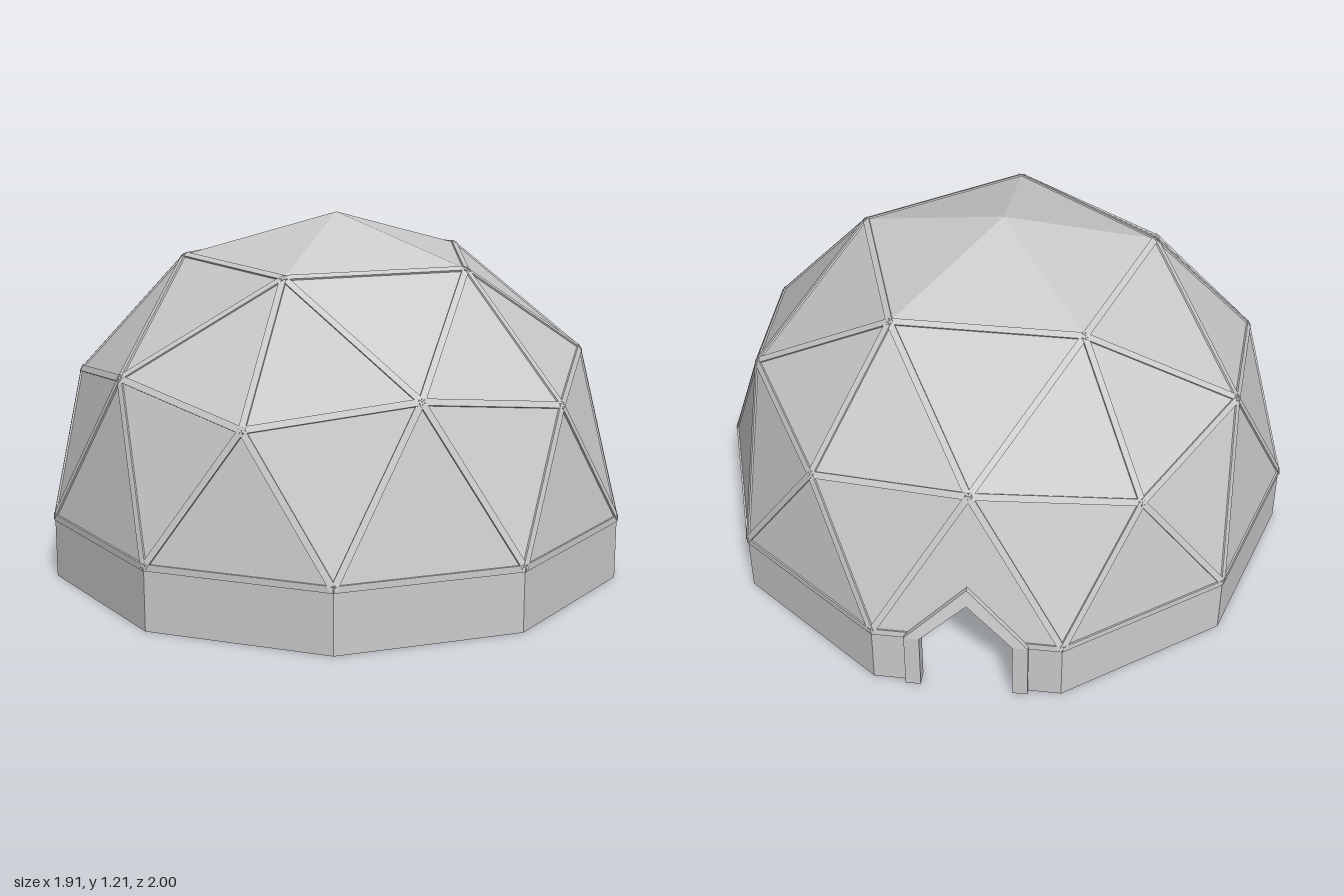
import * as THREE from 'three';

const R = 0.995;      // dome radius
const H = 0.21;       // height of the base wall
const DEG = Math.PI / 180;
const grey = new THREE.MeshStandardMaterial({ color: 0xcccccc, flatShading: true, side: THREE.DoubleSide });

// point on the dome: ring radius, height and angle, all relative to R
const at = (r, h, deg) =>
  new THREE.Vector3(R * r * Math.cos(deg * DEG), H + R * h, R * r * Math.sin(deg * DEG));

const apex = at(0, 1, 0);
const upper = (k) => at(0.5257, 0.8507, 72 * k);
const hub = (k) => at(0.8944, 0.4472, 72 * k);
const mid = (k) => at(0.8507, 0.5257, 72 * k + 36);
const base = (j) => at(1, 0, 18 + 36 * j);
const foot = (j) => base(j).setY(0);

// flat panels, each turned to face outwards
function panels(name, tris) {
  const pos = [];
  for (const [a, b, c] of tris) {
    const n = b.clone().sub(a).cross(c.clone().sub(a));
    const out = a.clone().add(b).add(c).sub(new THREE.Vector3(0, 3 * H, 0));
    const t = n.dot(out) > 0 ? [a, b, c] : [a, c, b];
    t.forEach((p) => pos.push(p.x, p.y, p.z));
  }
  const g = new THREE.BufferGeometry();
  g.setAttribute('position', new THREE.Float32BufferAttribute(pos, 3));
  g.computeVertexNormals();
  const m = new THREE.Mesh(g, grey);
  m.name = name;
  return m;
}

// square bar along an edge, its outer face just proud of the panels
function strut(a, b) {
  const len = a.distanceTo(b), depth = 0.026, proud = 0.004;
  const m = new THREE.Mesh(new THREE.BoxGeometry(0.022, len, depth), grey);
  const y = b.clone().sub(a).normalize();
  const centre = a.clone().add(b).multiplyScalar(0.5);
  const z = centre.clone().setY(centre.y - H);
  z.addScaledVector(y, -z.dot(y)).normalize();
  const x = y.clone().cross(z);
  m.quaternion.setFromRotationMatrix(new THREE.Matrix4().makeBasis(x, y, z));
  m.position.copy(centre).addScaledVector(z, proud - depth / 2);
  m.name = 'strut';
  return m;
}

// Doorway, built facing +z: the part above the wall leans back with its panel
function doorway() {
  const g = new THREE.Group();
  g.name = 'doorway';
  const apothem = R * Math.cos(18 * DEG), halfSide = R * Math.sin(18 * DEG);
  const topY = H + R * 0.5257;
  const lean = (apothem - R * 0.8507) / (topY - H);

  const add = (name, points, depth, offset) => {
    const shape = new THREE.Shape(points.map(([x, y]) => new THREE.Vector2(x, y)));
    const geo = depth
      ? new THREE.ExtrudeGeometry(shape, { depth, bevelEnabled: false })
      : new THREE.ShapeGeometry(shape);
    const p = geo.attributes.position;
    for (let i = 0; i < p.count; i++)
      p.setZ(i, p.getZ(i) + apothem + offset - lean * Math.max(0, p.getY(i) - H));
    geo.computeVertexNormals();
    const m = new THREE.Mesh(geo, grey);
    m.name = name;
    g.add(m);
  };

  const outW = 0.2, inW = 0.15, outTop = 0.41, inTop = 0.35;
  // triangle above the door with the gable notched out
  add('doorPanel', [[-halfSide, H], [-0.175, H], [0, 0.38], [0.175, H], [halfSide, H], [0, topY]], 0, 0);
  add('doorGable', [[-outW, H], [-inW, H], [0, inTop], [inW, H], [outW, H], [0, outTop]], 0.05, -0.033);
  for (const s of [-1, 1]) {
    add('doorJamb', [[s * inW, 0], [s * outW, 0], [s * outW, H], [s * inW, H]], 0.05, -0.033);
    add('doorWall', [[s * 0.175, 0], [s * halfSide, 0], [s * halfSide, H], [s * 0.175, H]], 0, 0);
    add('doorSill', [[s * 0.19, H - 0.011], [s * halfSide, H - 0.011],
      [s * halfSide, H + 0.011], [s * 0.19, H + 0.011]], 0.026, -0.022);
  }
  g.rotation.y = 126 * DEG;
  return g;
}

export function createModel() {
  const model = new THREE.Group();
  model.name = 'geodesicDome';
  const roof = [], shell = [], wall = [], edges = [];
  const doorMid = 4, doorSide = 8;

  for (let k = 0; k < 5; k++) {
    const u = upper(k), h = hub(k), m = mid(k), prev = mid(k - 1);
    const b = base(2 * k), bPrev = base(2 * k - 1), bNext = base(2 * k + 1);
    roof.push([apex, u, upper(k + 1)]);
    shell.push([u, upper(k + 1), m], [u, h, m], [u, h, prev],
      [h, bPrev, b], [h, m, b], [h, prev, bPrev]);
    if (k !== doorMid) shell.push([m, b, bNext]);
    edges.push([u, upper(k + 1)], [u, h], [u, m], [u, prev], [h, m], [h, prev],
      [h, b], [h, bPrev], [m, b], [m, bNext]);
  }

  // base wall and its top rail, left open at the doorway
  for (let j = 0; j < 10; j++) {
    if (j === doorSide) continue;
    wall.push([foot(j), foot(j + 1), base(j + 1)], [foot(j), base(j + 1), base(j)]);
    edges.push([base(j), base(j + 1)]);
  }

  const frame = new THREE.Group();
  frame.name = 'frame';
  edges.forEach(([a, b]) => frame.add(strut(a, b)));

  model.add(panels('roofCap', roof), panels('domePanels', shell), panels('baseWall', wall), frame, doorway());
  return model;
}
